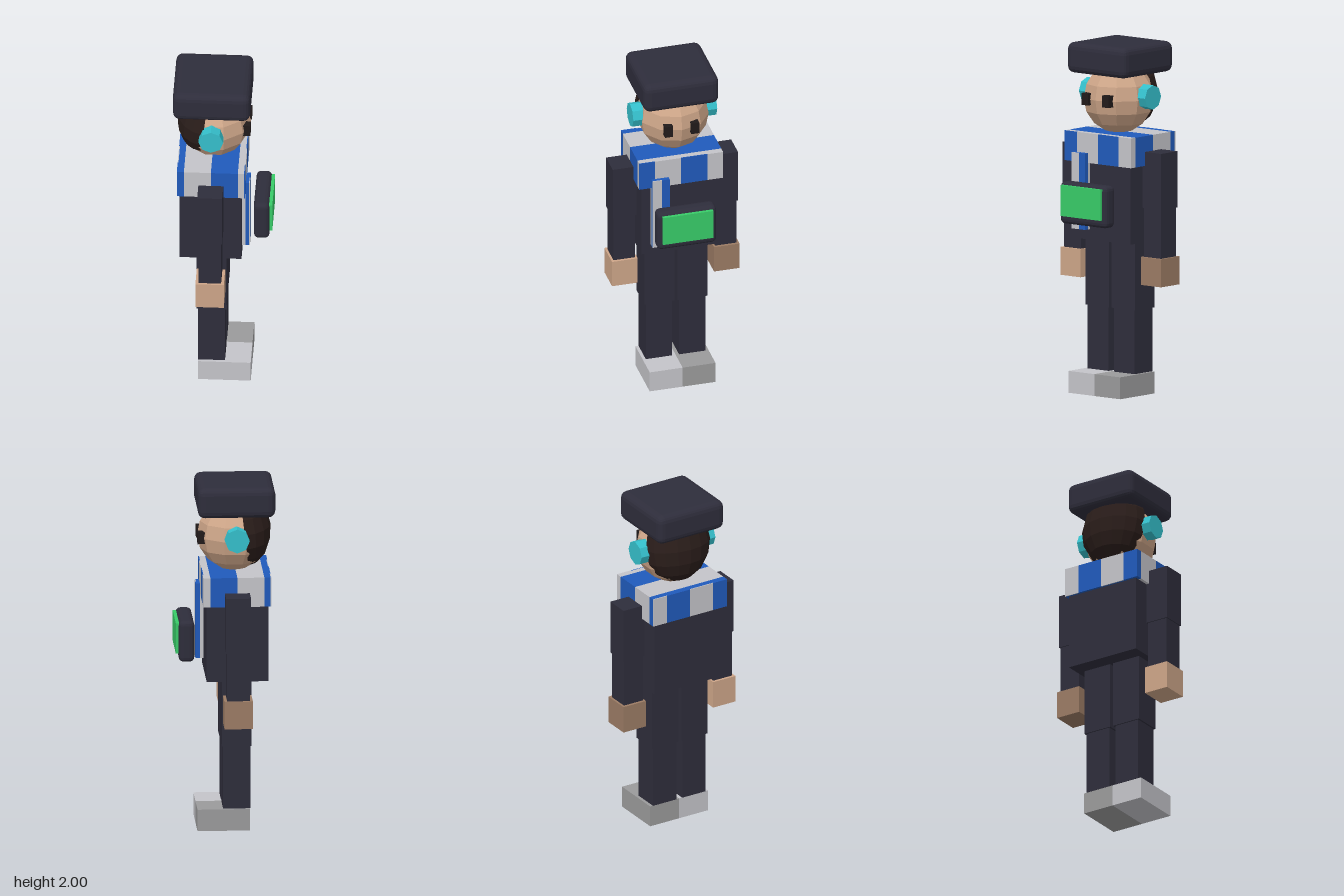
import * as THREE from 'three';
import { RoundedBoxGeometry } from 'three/addons/geometries/RoundedBoxGeometry.js';

const mat = (name, color, side = THREE.FrontSide) => {
  const m = new THREE.MeshStandardMaterial({ color, side });
  m.name = name;
  return m;
};

// Give every triangle its own normal for a faceted look
const faceted = (geometry) => {
  const g = geometry.index ? geometry.toNonIndexed() : geometry;
  g.computeVertexNormals();
  return g;
};

export function createModel() {
  const cloth = mat('dark cloth', 0x2e2d3b);
  const skin = mat('skin', 0xcda588);
  const skinDark = mat('dark skin', 0x9b7b64);
  const hairMat = mat('hair', 0x2a1d1a, THREE.DoubleSide);
  const blue = mat('blue', 0x205abb);
  const pale = mat('pale grey', 0xc4c4c9);
  const grey = mat('mid grey', 0x9a9a9b);
  const cyan = mat('cyan', 0x35bfcb);
  const green = mat('green', 0x38cb68);
  const eyeMat = mat('eye black', 0x211a1a);

  const model = new THREE.Group();
  model.name = 'figure';

  const add = (name, geometry, material, parent = model) => {
    const mesh = new THREE.Mesh(geometry, material);
    mesh.name = name;
    parent.add(mesh);
    return mesh;
  };
  // Block given by its limits on each axis
  const block = (name, [x0, x1], [y0, y1], [z0, z1], material, parent) => {
    const mesh = add(name, new THREE.BoxGeometry(x1 - x0, y1 - y0, z1 - z0), material, parent);
    mesh.position.set((x0 + x1) / 2, (y0 + y1) / 2, (z0 + z1) / 2);
    return mesh;
  };
  const rounded = (name, [x0, x1], [y0, y1], [z0, z1], radius, material) => {
    const g = faceted(new RoundedBoxGeometry(x1 - x0, y1 - y0, z1 - z0, 2, radius));
    const mesh = add(name, g, material);
    mesh.position.set((x0 + x1) / 2, (y0 + y1) / 2, (z0 + z1) / 2);
  };

  // Torso
  block('torso', [-0.24, 0.11], [0.88, 1.4], [-0.228, 0.228], cloth);

  // Arms, legs and feet, mirrored across z
  for (const s of [1, -1]) {
    const side = s > 0 ? 'near' : 'far';
    const span = (a, b) => (s > 0 ? [a, b] : [-b, -a]);
    block(side + 'UpperArm', [-0.133, 0.008], [1.08, 1.4], span(0.226, 0.367), cloth);
    block(side + 'Forearm', [-0.127, 0.002], [0.8, 1.08], span(0.235, 0.361), cloth);
    block(side + 'Hand', [-0.143, 0.018], [0.64, 0.8], span(0.224, 0.374), s > 0 ? skin : skinDark);
    block(side + 'Thigh', [-0.147, 0.022], [0.49, 0.88], span(0.01, 0.185), cloth);
    block(side + 'Shin', [-0.14, 0.014], [0.125, 0.49], span(0.02, 0.175), cloth);
    block(side + 'Shoe', [-0.138, 0.16], [0, 0.125], span(0, 0.193), s > 0 ? pale : grey);
  }

  // Striped scarf: bands along x, with banded plates on the front and back
  const scarf = new THREE.Group();
  scarf.name = 'scarf';
  model.add(scarf);
  const height = [1.32, 1.49];
  const xs = [-0.25, -0.215, -0.0625, 0.09, 0.125];
  const zs = [0.246, 0.154, 0, -0.154, -0.246];
  for (let i = 0; i < 4; i++) {
    const m = i % 2 ? pale : blue;
    block('scarfBand', [xs[i], xs[i + 1]], height, [-0.246, 0.246], m, scarf);
    for (const x of [-0.255, 0.125]) {
      block('scarfEndStripe', [x, x + 0.005], height, [zs[i + 1], zs[i]], m, scarf);
    }
  }

  // Hanging scarf end
  const tail = [0.94, 1.376];
  block('scarfTailBase', [0.11, 0.13], tail, [0.074, 0.175], pale, scarf);
  block('scarfTailFront', [0.13, 0.15], tail, [0.074, 0.175], blue, scarf);
  block('scarfTailPaleStripe', [0.15, 0.155], tail, [0.12, 0.175], pale, scarf);
  block('scarfTailBlueStripe', [0.15, 0.155], tail, [0.074, 0.12], blue, scarf);

  // Chest device with a lit screen
  rounded('device', [0.175, 0.264], [0.98, 1.22], [-0.174, 0.174], 0.028, cloth);
  block('screen', [0.255, 0.28], [1.027, 1.204], [-0.148, 0.148], green);

  // Head
  const head = add('head', faceted(new THREE.SphereGeometry(0.205, 10, 8)), skin);
  head.position.set(-0.054, 1.685, 0);

  // Hair: half ellipsoid over the back of the head
  const hairGeo = new THREE.SphereGeometry(1, 8, 8, -Math.PI / 2, Math.PI);
  hairGeo.scale(0.157, 0.222, 0.203);
  const hair = add('hair', faceted(hairGeo), hairMat);
  hair.position.set(-0.108, 1.724, 0);
  hair.rotation.z = -0.12;

  // Eyes and ear pads
  for (const s of [1, -1]) {
    const eye = add('eye', new THREE.BoxGeometry(0.045, 0.068, 0.047), eyeMat);
    eye.position.set(0.131, 1.686, s * 0.077);
    const pad = add('earPad', faceted(new THREE.CylinderGeometry(0.07, 0.07, 0.072, 8)), cyan);
    pad.rotation.x = Math.PI / 2;
    pad.position.set(-0.0625, 1.703, s * 0.21);
  }

  // Hat
  rounded('hat', [-0.281, 0.157], [1.825, 2], [-0.22, 0.22], 0.04, cloth);

  return model;
}
